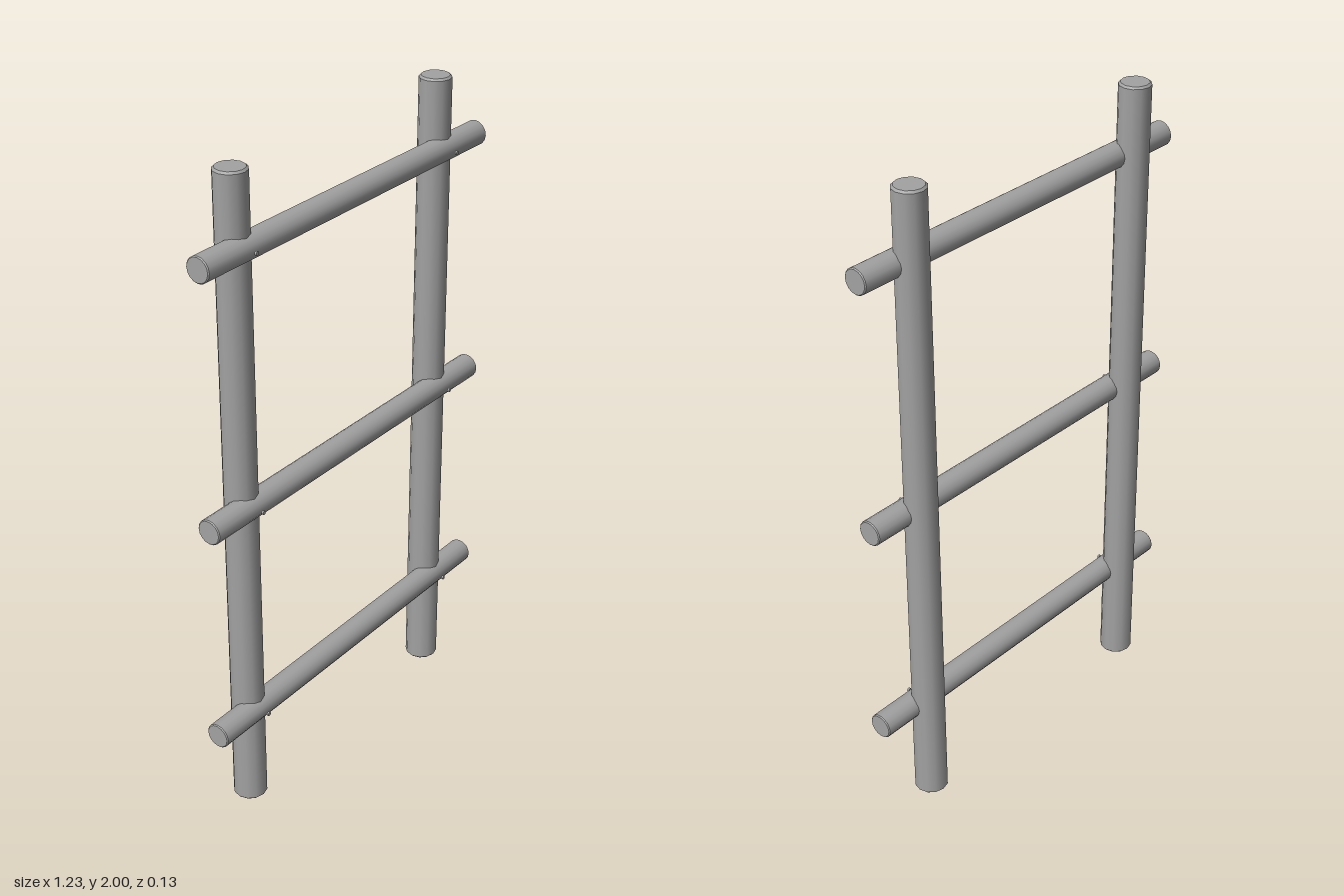
import * as THREE from 'three';
import { toCreasedNormals } from 'three/addons/utils/BufferGeometryUtils.js';

const RUNG_HEIGHTS = [0.325, 1.017, 1.785];
const POST_XS = [-0.447, 0.444];

// Round pole along y from 0 to length, slightly tapered, with bevelled ends
function poleGeometry(length, rBottom, rTop, bevel, sides) {
  const profile = [
    [0, 0], [rBottom - bevel, 0], [rBottom, bevel],
    [rTop, length - bevel], [rTop - bevel, length], [0, length],
  ].map(([r, y]) => new THREE.Vector2(r, y));
  return toCreasedNormals(new THREE.LatheGeometry(profile, sides), 0.65);
}

export function createModel() {
  const model = new THREE.Group();
  model.name = 'ladder';
  const grey = new THREE.MeshStandardMaterial({ color: 0xa2a2a2 });
  grey.name = 'grey wood';

  const add = (name, geometry, x, y, z) => {
    const mesh = new THREE.Mesh(geometry, grey);
    mesh.name = name;
    mesh.position.set(x, y, z);
    model.add(mesh);
  };

  // Upright posts
  const post = poleGeometry(2, 0.051, 0.048, 0.006, 12);
  POST_XS.forEach((x, i) => add(i ? 'leftPost' : 'rightPost', post, x, 0, -0.016));

  // Rungs set into the front of the posts, each pinned by two nails
  const rung = poleGeometry(1.232, 0.038, 0.038, 0.003, 16).rotateZ(-Math.PI / 2);
  const nail = new THREE.CylinderGeometry(0.006, 0.006, 0.006, 8).rotateX(Math.PI / 2);
  RUNG_HEIGHTS.forEach((y, i) => {
    add(`rung${i + 1}`, rung, -0.616, y, 0.013);
    POST_XS.forEach((x, j) => add(`nail${i * 2 + j + 1}`, nail, x, y, 0.064));
  });

  return model;
}
